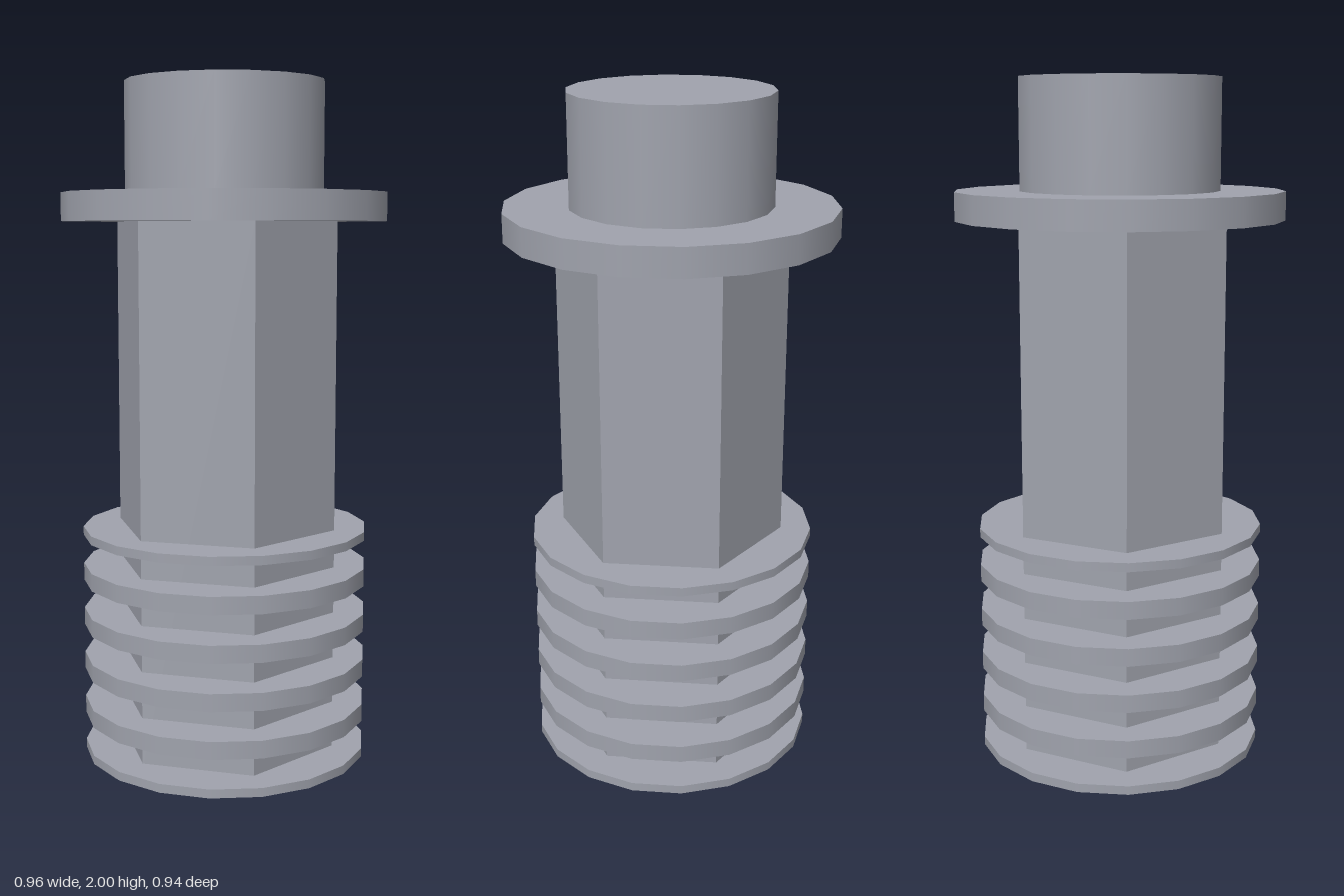
import * as THREE from 'three';

export function createModel() {
  const group = new THREE.Group();
  const steel = new THREE.MeshStandardMaterial({ color: 0xa0a3ad });
  steel.name = 'steel grey';

  // Upright prism from y0 to y1 with one corner on the x axis
  function prism(name, radius, y0, y1, sides) {
    let geometry = new THREE.CylinderGeometry(radius, radius, y1 - y0, sides, 1, false, Math.PI / 2);
    if (sides < 10) {
      // Crisp facets on the hexagonal part
      geometry = geometry.toNonIndexed();
      geometry.computeVertexNormals();
    }
    const mesh = new THREE.Mesh(geometry, steel);
    mesh.name = name;
    mesh.position.y = (y0 + y1) / 2;
    group.add(mesh);
  }

  const shaftTop = 1.598, collarTop = 1.681;
  prism('hexShaft', 0.336, 0.01, shaftTop, 6);
  prism('collar', 0.479, shaftTop, collarTop, 18);
  prism('head', 0.292, collarTop, 2, 18);

  // Evenly spaced ribs; the first and last are half as thick
  const count = 6, pitch = 0.1383, half = 0.026;
  for (let i = 0; i < count; i++) {
    const y = i * pitch;
    const bottom = i === 0 ? y : y - half;
    const top = i === count - 1 ? y : y + half;
    prism('rib' + (i + 1), 0.426, bottom, top, 18);
  }

  return group;
}
